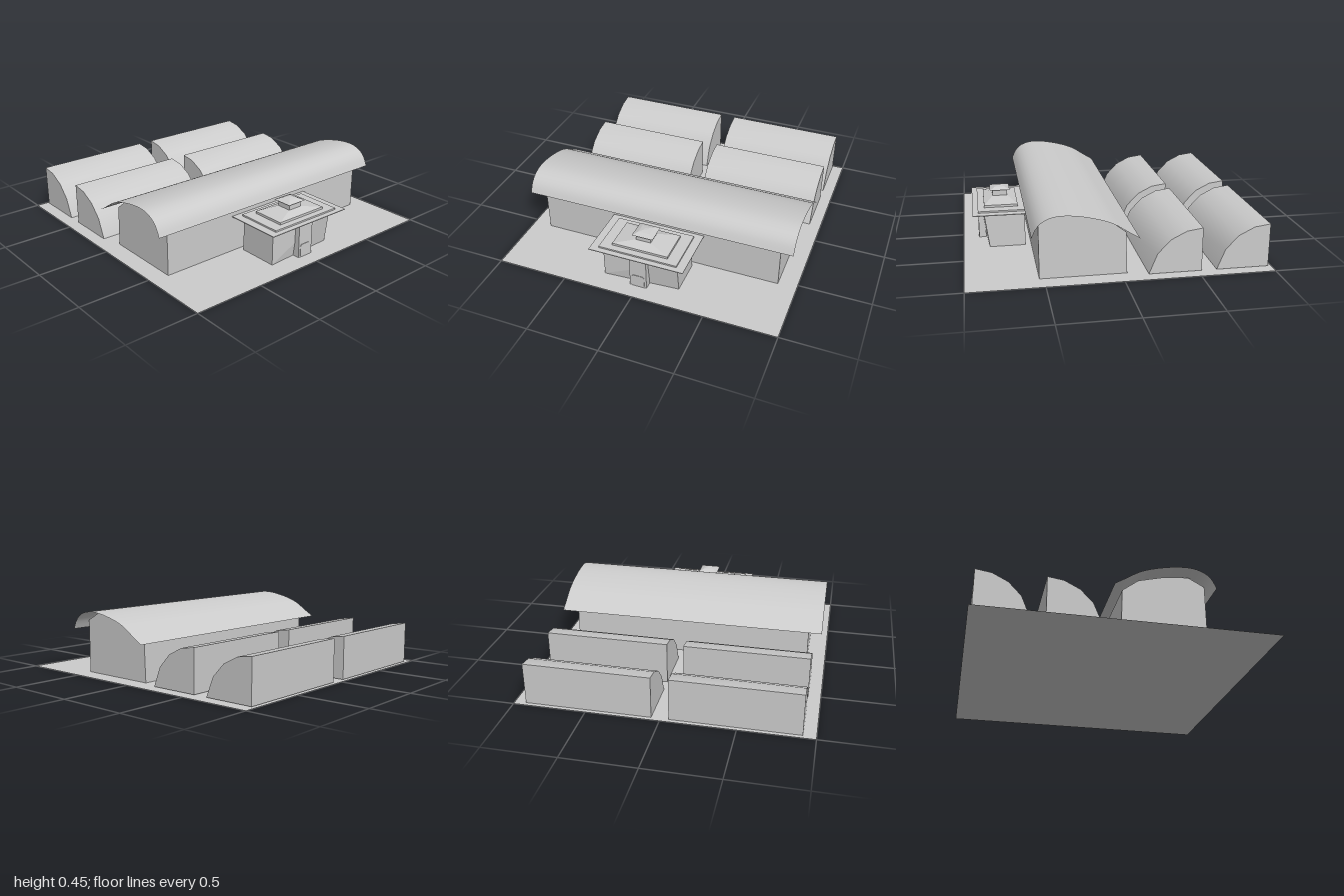
import * as THREE from 'three';
import { toCreasedNormals } from 'three/addons/utils/BufferGeometryUtils.js';

const grey = new THREE.MeshStandardMaterial({ color: 0xcccccc });
const thin = new THREE.MeshStandardMaterial({ color: 0xcccccc, side: THREE.DoubleSide });

function part(parent, name, geometry, material = grey) {
  const mesh = new THREE.Mesh(geometry, material);
  mesh.name = name;
  parent.add(mesh);
  return mesh;
}

// Side profile given as [z, y] points, extruded along x from x0 to x1
function extrudeAlongX(profile, x0, x1, crease) {
  const shape = new THREE.Shape(profile.map(([z, y]) => new THREE.Vector2(z, y)));
  const g = new THREE.ExtrudeGeometry(shape, { depth: x1 - x0, bevelEnabled: false });
  g.rotateY(-Math.PI / 2).translate(x1, 0, 0);
  return crease ? toCreasedNormals(g, crease) : g;
}

// Box centred on the entrance axis whose top face may be smaller than its base
function frustum(w0, d0, w1, d1, y0, y1, z = 0.73) {
  const g = new THREE.BoxGeometry(1, y1 - y0, 1).toNonIndexed();
  const p = g.attributes.position;
  for (let i = 0; i < p.count; i++) {
    const top = p.getY(i) > 0;
    p.setX(i, p.getX(i) * (top ? w1 : w0));
    p.setZ(i, p.getZ(i) * (top ? d1 : d0));
  }
  g.translate(0, (y0 + y1) / 2, z);
  g.computeVertexNormals();
  return g;
}

// Curved sheet roof, overhanging the hall on all sides
function roofSheet() {
  const curve = new THREE.CatmullRomCurve3([
    [-0.10, 0.272], [-0.03, 0.315], [0.08, 0.382], [0.25, 0.432], [0.38, 0.447],
    [0.45, 0.44], [0.51, 0.415], [0.55, 0.375], [0.58, 0.313],
  ].map(([z, y]) => new THREE.Vector3(0, y, z)));
  const rows = 28;
  const pts = curve.getSpacedPoints(rows);
  const g = new THREE.PlaneGeometry(1.93, 1, 1, rows);
  const p = g.attributes.position;
  for (let i = 0; i < p.count; i++) {
    const q = pts[Math.floor(i / 2)];
    p.setXYZ(i, p.getX(i), q.y, q.z);
  }
  g.computeVertexNormals();
  return g;
}

export function createModel() {
  const model = new THREE.Group();
  model.name = 'hallComplex';

  part(model, 'ground', new THREE.PlaneGeometry(2, 2).rotateX(-Math.PI / 2), thin);

  // Main hall and its roof
  const hall = new THREE.Group();
  hall.name = 'mainHall';
  model.add(hall);
  part(hall, 'hallWalls', extrudeAlongX([
    [-0.04, 0], [0.53, 0], [0.53, 0.37], [0.42, 0.43], [0.25, 0.412], [0.08, 0.367], [-0.03, 0.283],
  ], -0.87, 0.87));
  part(hall, 'hallRoof', roofSheet(), thin);

  // Four quarter-round sheds behind the hall
  const shedProfile = [[0, 0.004], [-0.055, 0.14], [-0.14, 0.23], [-0.245, 0.283], [-0.352, 0.298], [-0.352, 0.004]];
  for (const z of [-0.172, -0.625]) {
    for (const x of [-0.915, 0.06]) {
      const shed = part(model, 'shed', extrudeAlongX([...shedProfile].reverse(), x, x + 0.86, 0.6));
      shed.position.z = z;
    }
  }

  // Entrance block; its front left foot is set back a little
  const entrance = new THREE.Group();
  entrance.name = 'entrance';
  model.add(entrance);
  const walls = frustum(0.53, 0.283, 0.53, 0.283, 0, 0.252, 0.7115);
  const p = walls.attributes.position;
  for (let i = 0; i < p.count; i++) {
    if (p.getX(i) > 0 && p.getY(i) < 0.1 && p.getZ(i) > 0.8) p.setZ(i, 0.82);
  }
  walls.computeVertexNormals();
  part(entrance, 'entranceWalls', walls);
  part(entrance, 'porch', frustum(0.12, 0.05, 0.12, 0.05, 0, 0.252, 0.865));

  // Door with clipped upper corners
  const door = new THREE.Shape([
    [-0.045, 0], [0.045, 0], [0.045, 0.08], [0.035, 0.092], [-0.035, 0.092], [-0.045, 0.08],
  ].map(([x, y]) => new THREE.Vector2(x, y)));
  part(entrance, 'door', new THREE.ExtrudeGeometry(door, { depth: 0.005, bevelEnabled: false }).translate(0, 0, 0.888));

  // Stepped roof: [base width, base depth, top width, top depth, bottom, top]
  const tiers = {
    eavesSlab: [0.67, 0.40, 0.67, 0.40, 0.252, 0.257],
    roofStep: [0.555, 0.325, 0.555, 0.325, 0.257, 0.268],
    upperStep: [0.395, 0.235, 0.395, 0.235, 0.268, 0.284],
    hipRoof: [0.395, 0.235, 0.11, 0.105, 0.284, 0.308],
    lantern: [0.106, 0.104, 0.106, 0.104, 0.3, 0.352],
    lanternEaves: [0.147, 0.14, 0.08, 0.075, 0.352, 0.367],
    lanternCap: [0.08, 0.075, 0.02, 0.02, 0.367, 0.373],
  };
  for (const [name, size] of Object.entries(tiers)) part(entrance, name, frustum(...size));

  return model;
}
